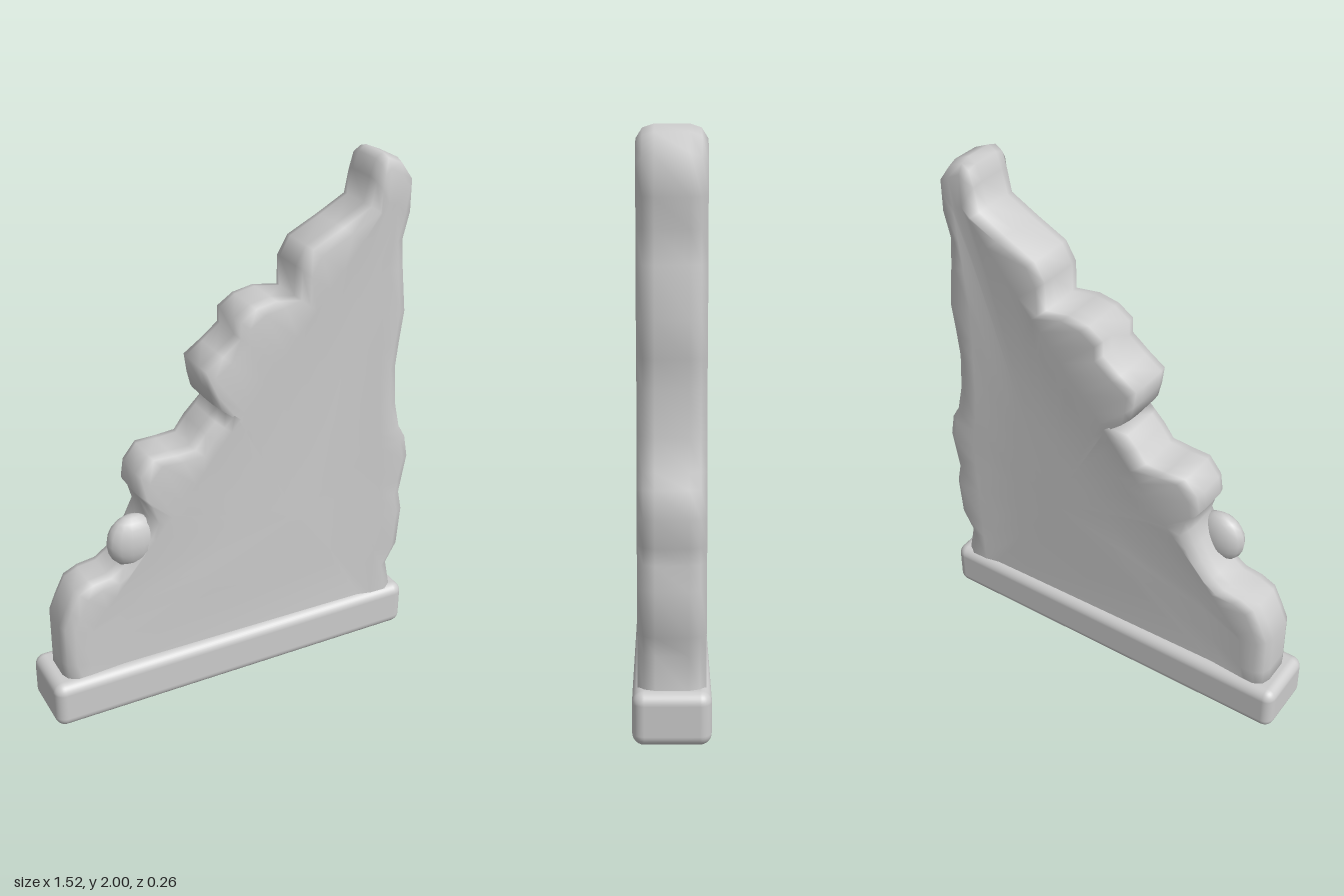
import * as THREE from 'three';
import { mergeVertices } from 'three/addons/utils/BufferGeometryUtils.js';
import { RoundedBoxGeometry } from 'three/addons/geometries/RoundedBoxGeometry.js';

const material = new THREE.MeshStandardMaterial({ color: 0xcccccc });

// Ragged silhouette: up the broken slope, over the tip, down the upright edge
const OUTLINE = [
  [-0.71, 0.08], [-0.71, 0.25], [-0.71, 0.41], [-0.68, 0.48], [-0.645, 0.55], [-0.59, 0.575],
  [-0.52, 0.585], [-0.47, 0.62], [-0.42, 0.68], [-0.39, 0.74], [-0.36, 0.8], [-0.38, 0.87], [-0.4, 0.9],
  [-0.39, 0.97], [-0.34, 1.03], [-0.26, 1.03], [-0.18, 1.035], [-0.14, 1.09], [-0.1, 1.13],
  [-0.06, 1.17], [-0.11, 1.2], [-0.125, 1.26], [-0.135, 1.33], [-0.07, 1.375], [0, 1.43],
  [0, 1.49], [0.06, 1.53], [0.14, 1.545], [0.24, 1.53], [0.24, 1.64], [0.28, 1.71],
  [0.4, 1.77], [0.51, 1.83], [0.53, 1.92], [0.55, 1.98], [0.58, 2], [0.64, 1.975],
  [0.69, 1.91], [0.695, 1.78], [0.67, 1.68], [0.68, 1.57], [0.7, 1.4], [0.685, 1.28],
  [0.675, 1.18], [0.685, 1.03], [0.71, 0.92], [0.74, 0.87], [0.757, 0.78], [0.74, 0.68],
  [0.73, 0.62], [0.747, 0.54], [0.735, 0.38], [0.69, 0.3], [0.715, 0.18], [0.715, 0.08],
].map(([x, y]) => new THREE.Vector2(x, y));

// Simplified inner border where the rounded rim meets the flat panel
const INNER = [
  [-0.62, 0.1], [-0.6, 0.38], [-0.3, 0.75], [0, 1.12], [0.32, 1.5], [0.58, 1.83],
  [0.62, 1.82], [0.58, 1.4], [0.59, 1], [0.62, 0.75], [0.6, 0.1],
].map(([x, y]) => new THREE.Vector2(x, y));

const CENTRE = new THREE.Vector2(0.25, 0.65);

function nearestOnInner(p) {
  let best = null;
  INNER.forEach((a, i) => {
    const ab = INNER[(i + 1) % INNER.length].clone().sub(a);
    const t = THREE.MathUtils.clamp(p.clone().sub(a).dot(ab) / ab.lengthSq(), 0, 1);
    const q = a.clone().addScaledVector(ab, t);
    if (!best || q.distanceTo(p) < best.distanceTo(p)) best = q;
  });
  return best;
}

// Move an outline point inward by a distance, stopping at the inner border
function inset(p, distance) {
  const q = nearestOnInner(p);
  const length = q.distanceTo(p);
  return p.clone().lerp(q, Math.min(1, distance / Math.max(length, 1e-6)));
}

function wallGeometry() {
  // Rings from the panel centre out to the rim, as [point rule, half depth]
  const half = [
    [() => CENTRE.clone(), 0.1],
    [(p) => nearestOnInner(p).lerp(CENTRE, 0.55), 0.1],
    [(p) => nearestOnInner(p).lerp(CENTRE, 0.17), 0.102],
    [(p) => nearestOnInner(p), 0.112],
    [(p) => inset(p, 0.045), 0.113],
    [(p) => inset(p, 0.012), 0.092],
    [(p) => p.clone(), 0.055],
  ];
  const rings = [...half, ...half.slice().reverse().map(([rule, z]) => [rule, -z])];
  const positions = [];
  const index = [];
  const n = OUTLINE.length;
  rings.forEach(([rule, z], r) => {
    OUTLINE.forEach((p, i) => {
      const q = rule(p);
      // The lower stones on the slope are a little thinner
      const thin = 1 - 0.12 * THREE.MathUtils.smoothstep(-q.x, 0.15, 0.45);
      positions.push(q.x, q.y, z * thin);
      if (r === 0) return;
      const a = (r - 1) * n + i, a2 = (r - 1) * n + (i + 1) % n;
      index.push(a, a2 + n, a + n, a, a2, a2 + n);
    });
  });
  let geometry = new THREE.BufferGeometry();
  geometry.setAttribute('position', new THREE.Float32BufferAttribute(positions, 3));
  geometry.setIndex(index);
  geometry = mergeVertices(geometry, 1e-4);
  geometry.computeVertexNormals();
  return geometry;
}

export function createModel() {
  const model = new THREE.Group();
  model.name = 'ruinedWall';

  const add = (name, geometry, x, y, z) => {
    const mesh = new THREE.Mesh(geometry, material);
    mesh.name = name;
    mesh.position.set(x, y, z);
    model.add(mesh);
    return mesh;
  };

  // Wall with a rounded stone rim and a slightly sunken panel
  add('wall', wallGeometry(), 0, 0, 0);

  // Rounded plinth
  add('base', new RoundedBoxGeometry(1.515, 0.185, 0.262, 4, 0.04), -0.007, 0.0975, 0);

  // Loose stone bulging from the front half of the slope
  const stone = add('looseStone', new THREE.SphereGeometry(1, 14, 10), -0.41, 0.7, 0.052);
  stone.scale.set(0.1, 0.105, 0.058);

  model.position.y = -0.005;
  const root = new THREE.Group();
  root.add(model);
  return root;
}
